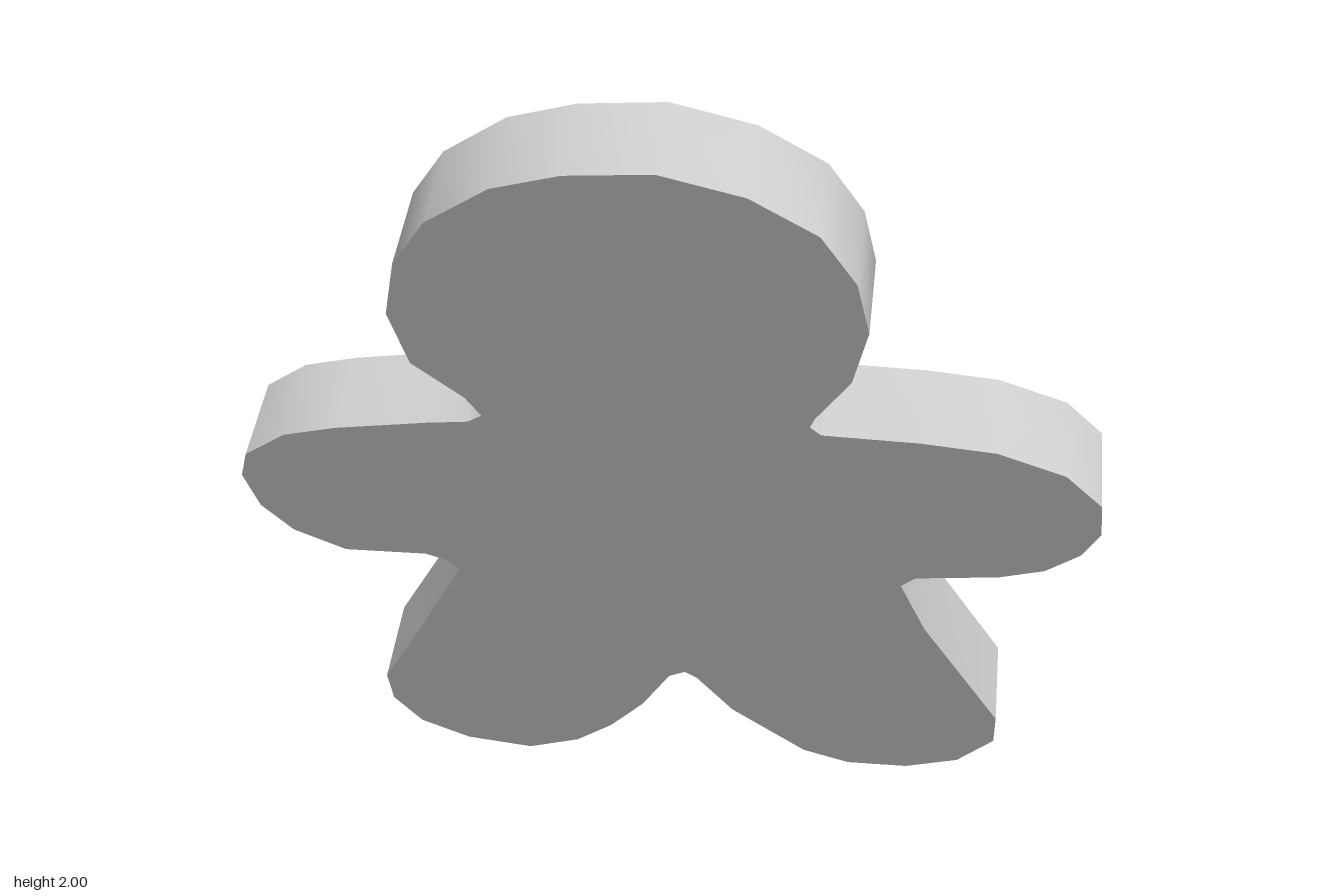
import * as THREE from 'three';
import { toCreasedNormals } from 'three/addons/utils/BufferGeometryUtils.js';

// Outline of each body part, clockwise, measured in the plane of the figure from the crotch
const OUTLINE = [
  // head
  [-0.39, 0.99], [-0.42, 1.05], [-0.53, 1.165], [-0.556, 1.324], [-0.51, 1.48], [-0.417, 1.602],
  [-0.257, 1.70], [-0.094, 1.738], [0.106, 1.742], [0.294, 1.678], [0.441, 1.57], [0.514, 1.431],
  [0.534, 1.283], [0.489, 1.126], [0.40, 1.005], [0.386, 0.975],
  // left arm
  [0.411, 0.948], [0.639, 0.928], [0.815, 0.899], [0.974, 0.825], [1.059, 0.72], [1.062, 0.618],
  [1.018, 0.54], [0.932, 0.475], [0.822, 0.445], [0.618, 0.43], [0.581, 0.398],
  // left leg
  [0.636, 0.226], [0.818, -0.155], [0.812, -0.257], [0.714, -0.355], [0.575, -0.396],
  [0.416, -0.39], [0.297, -0.34], [0.114, -0.163], [0.029, -0.024], [0, 0],
  // right leg
  [-0.045, -0.021], [-0.131, -0.154], [-0.233, -0.263], [-0.336, -0.339], [-0.477, -0.384],
  [-0.65, -0.35], [-0.772, -0.277], [-0.833, -0.173], [-0.833, -0.071], [-0.682, 0.173], [-0.546, 0.406],
  // right arm
  [-0.571, 0.441], [-0.624, 0.465], [-0.832, 0.473], [-0.954, 0.546], [-1.019, 0.639], [-1.04, 0.753],
  [-1.011, 0.831], [-0.896, 0.906], [-0.761, 0.935], [-0.529, 0.961], [-0.427, 0.968],
];
const THICKNESS = 0.235;

export function createModel() {
  const group = new THREE.Group();
  group.name = 'gingerbreadFigure';

  // Flat biscuit: front face at z = 0, thickness going backwards
  const shape = new THREE.Shape(OUTLINE.map(([x, y]) => new THREE.Vector2(x, y)));
  const flat = new THREE.ExtrudeGeometry(shape, { depth: THICKNESS, bevelEnabled: false });
  flat.translate(0, 0, -THICKNESS);
  const biscuit = new THREE.Mesh(
    toCreasedNormals(flat, 0.5),
    new THREE.MeshStandardMaterial({ color: 0xcccccc }),
  );
  biscuit.name = 'biscuitBody';

  // Tilt the biscuit so its front looks down and to its right
  const facing = new THREE.Vector3(-0.51, -0.47, 0.72).normalize();
  const up = new THREE.Vector3(-0.302, 0.882, 0.362);
  const side = new THREE.Vector3().crossVectors(up, facing).normalize();
  up.crossVectors(facing, side);
  biscuit.quaternion.setFromRotationMatrix(new THREE.Matrix4().makeBasis(side, up, facing));
  biscuit.position.set(0.11, 0.36, -0.085);
  group.add(biscuit);
  return group;
}
